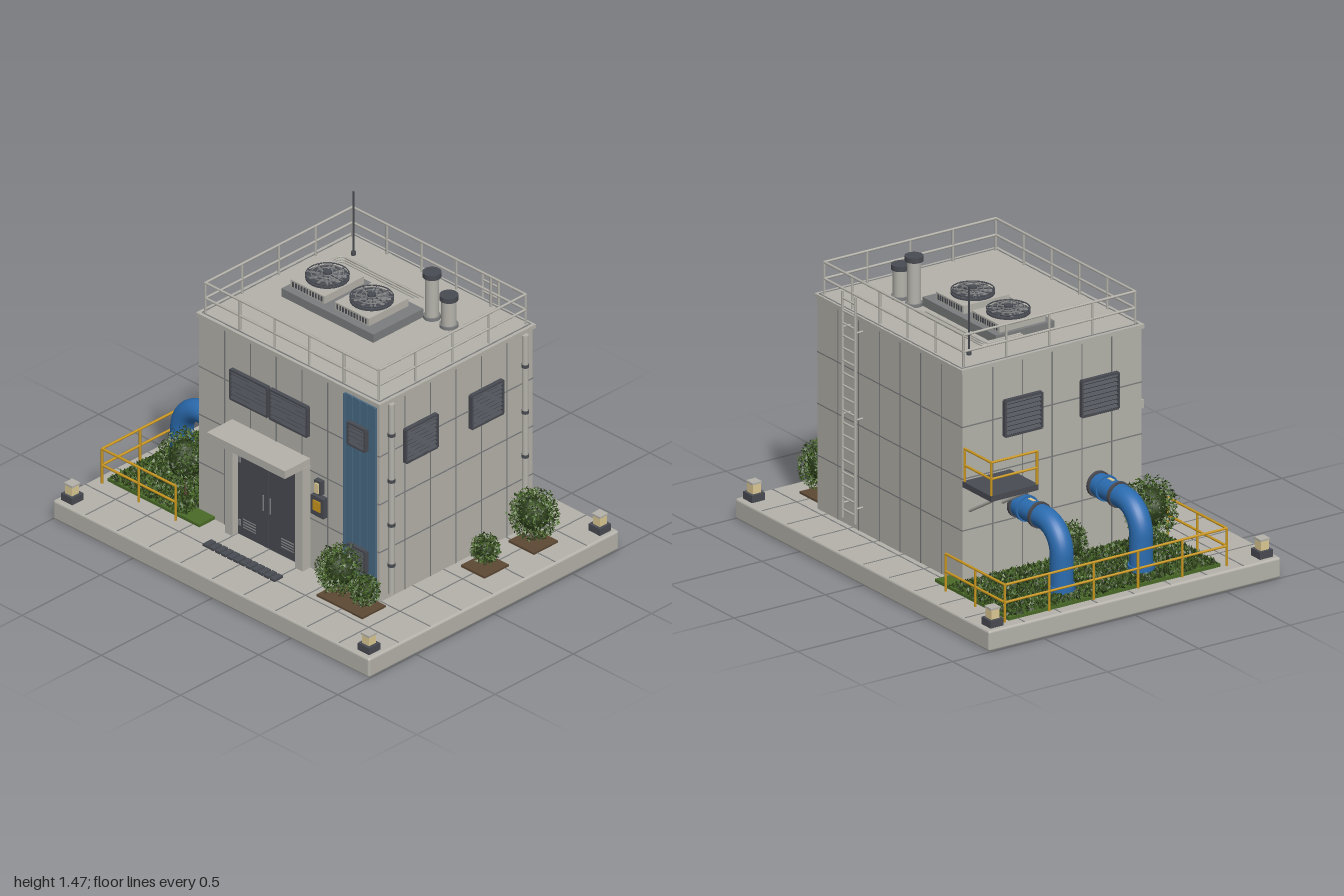
import * as THREE from 'three';
import { RoundedBoxGeometry } from 'three/addons/geometries/RoundedBoxGeometry.js';

export function createModel() {
  const root = new THREE.Group();
  root.name = 'pumpStation';
  const mat = (name, color, side = THREE.FrontSide) => Object.assign(new THREE.MeshStandardMaterial({ color, side }), { name });
  const concrete = mat('concrete', 0xb4b2aa), seam = mat('seamGrey', 0x7b7d7e), dark = mat('darkMetal', 0x484b52);
  const blue = mat('pipeBlue', 0x2b6cb0), panelBlue = mat('panelBlue', 0x486983), yellow = mat('safetyYellow', 0xcb981f);
  const leaf = mat('leafGreen', 0x4a6a28, THREE.DoubleSide), leafDark = mat('leafDark', 0x2b3d1a, THREE.DoubleSide);
  const cream = mat('lampCream', 0xdcc993), soil = mat('soil', 0x5c4834);

  let seed = 7;
  const rnd = () => ((seed = (seed * 16807) % 2147483647) / 2147483647);
  const V = (x, y, z) => new THREE.Vector3(x, y, z);
  const add = (name, geo, m, parent = root) => {
    const mesh = new THREE.Mesh(geo, m);
    mesh.name = name;
    parent.add(mesh);
    return mesh;
  };
  const group = (name) => { const g = new THREE.Group(); g.name = name; root.add(g); return g; };
  // box from its min and max on each axis
  const box = (name, m, x0, x1, y0, y1, z0, z1, p) => {
    const b = add(name, new THREE.BoxGeometry(x1 - x0, y1 - y0, z1 - z0), m, p);
    b.position.set((x0 + x1) / 2, (y0 + y1) / 2, (z0 + z1) / 2);
    return b;
  };
  // round bar between two points
  const rod = (name, m, a, b, r, p, sides = 8) => {
    const d = b.clone().sub(a);
    const c = add(name, new THREE.CylinderGeometry(r, r, d.length(), sides), m, p);
    c.position.copy(a).add(b).multiplyScalar(0.5);
    c.quaternion.setFromUnitVectors(V(0, 1, 0), d.normalize());
    return c;
  };
  const cyl = (name, m, x, z, y0, y1, r, p) => rod(name, m, V(x, y0, z), V(x, y1, z), r, p, 24);
  // handrail along [x, z] corners: two rails and evenly spaced posts
  const railing = (name, m, pts, y0, mid, top, step, r) => {
    const g = group(name);
    for (let i = 0; i + 1 < pts.length; i++) {
      const a = V(pts[i][0], 0, pts[i][1]), b = V(pts[i + 1][0], 0, pts[i + 1][1]);
      for (const y of [mid, top]) rod('rail', m, a.clone().setY(y), b.clone().setY(y), r, g);
      const n = Math.max(1, Math.round(a.distanceTo(b) / step));
      for (let k = 0; k <= n; k++) {
        const p = a.clone().lerp(b, k / n);
        rod('post', m, p.clone().setY(y0), p.clone().setY(top), r, g);
      }
    }
  };
  // framed louvre facing +z locally, turned about y
  const louvre = (x, y, z, w, h, turn) => {
    const g = group('louvre');
    g.position.set(x, y, z);
    g.rotation.y = turn;
    box('back', dark, -w / 2, w / 2, -h / 2, h / 2, 0, 0.005, g);
    for (const s of [-1, 1]) {
      box('frameSide', dark, s * w / 2 - 0.005, s * w / 2 + 0.005, -h / 2, h / 2, 0, 0.02, g);
      box('frameEnd', dark, -w / 2, w / 2, s * h / 2 - 0.005, s * h / 2 + 0.005, 0, 0.02, g);
    }
    const n = Math.round(h / 0.021);
    for (let i = 0; i < n; i++) {
      const s = box('slat', dark, -w / 2, w / 2, -0.002, 0.002, -0.009, 0.009, g);
      s.position.set(0, -h / 2 + (i + 0.5) * h / n, 0.011);
      s.rotation.x = 0.7;
    }
  };
  // loose triangles, each given by centre, size and lift
  const flakes = (name, m, n, place, size, upright, p) => {
    const pos = [];
    for (let i = 0; i < n; i++) {
      const c = place();
      const a = V(rnd() - 0.5, upright ? 0 : rnd() - 0.5, rnd() - 0.5).setLength(size);
      const b = upright ? V((rnd() - 0.5) * size * 2, size * (1 + rnd()), (rnd() - 0.5) * size * 2) : V(rnd() - 0.5, rnd() - 0.5, rnd() - 0.5).setLength(size * 1.6);
      for (const v of [c.clone().sub(a), c.clone().add(a), c.clone().add(b)]) pos.push(v.x, v.y, v.z);
    }
    const g = new THREE.BufferGeometry();
    g.setAttribute('position', new THREE.Float32BufferAttribute(pos, 3));
    g.computeVertexNormals();
    add(name, g, m, p);
  };
  const bush = (x, z, r, y0, y1) => {
    const g = group('bush'), cy = (y0 + y1) / 2, ry = (y1 - y0) / 2;
    const place = () => {
      const d = V(rnd() - 0.5, rnd() - 0.5, rnd() - 0.5).normalize().multiplyScalar(0.45 + 0.6 * Math.sqrt(rnd()) * (0.75 + 0.25 * rnd()));
      return V(x + d.x * r, cy + d.y * ry, z + d.z * r);
    };
    add('core', new THREE.IcosahedronGeometry(0.62, 1), leafDark, g).position.set(x, cy, z);
    g.children[0].scale.set(r, ry, r);
    rod('stem', soil, V(x, 0.1, z), V(x, cy, z), 0.008, g);
    const n = Math.round(r * 7500);
    flakes('leaves', leaf, n, place, 0.008, false, g);
    flakes('shadedLeaves', leafDark, n, place, 0.008, false, g);
  };

  // base slab with paving joints
  add('baseSlab', new RoundedBoxGeometry(2, 0.1, 1.6, 2, 0.012), concrete).position.y = 0.05;
  for (let i = -4; i <= 4; i++) box('pavingJoint', seam, i * 0.2 - 0.003, i * 0.2 + 0.003, 0.098, 0.1015, -0.79, 0.79);
  for (let i = -3; i <= 3; i++) box('pavingJoint', seam, -0.99, 0.99, 0.098, 0.1015, i * 0.2 - 0.003, i * 0.2 + 0.003);

  // building shell, wall joints and roof
  box('walls', concrete, -0.46, 0.68, 0.1, 1.12, -0.57, 0.41);
  for (const y of [0.36, 0.61, 0.86]) box('wallJoint', seam, -0.462, 0.682, y - 0.003, y + 0.003, -0.572, 0.412);
  for (let i = 1; i < 7; i++) {
    const x = -0.46 + i * 0.163;
    box('wallJoint', seam, x - 0.003, x + 0.003, 0.1, 1.12, -0.572, 0.412);
    const z = 0.41 - i * 0.163;
    if (i < 6) box('wallJoint', seam, -0.462, 0.682, 0.1, 1.12, z - 0.003, z + 0.003);
  }
  box('roofSlab', concrete, -0.47, 0.69, 1.12, 1.14, -0.58, 0.42);
  for (const z of [-0.566, 0.4]) box('roofJoint', seam, -0.45, 0.67, 1.139, 1.142, z - 0.003, z + 0.003);
  for (const x of [-0.45, 0.67]) box('roofJoint', seam, x - 0.003, x + 0.003, 1.139, 1.142, -0.566, 0.4);
  railing('roofRailing', concrete, [[-0.44, 0.39], [0.655, 0.39], [0.655, -0.55], [-0.44, -0.55], [-0.44, 0.39]], 1.14, 1.215, 1.295, 0.24, 0.006);

  // blue front panel with ribs
  box('bluePanel', panelBlue, 0.467, 0.66, 0.1, 1.11, 0.41, 0.418);
  for (let i = 0; i <= 4; i++) box('panelRib', panelBlue, 0.465 + i * 0.048, 0.473 + i * 0.048, 0.1, 1.11, 0.41, 0.424);

  // louvres on front and side walls
  louvre(-0.13, 0.862, 0.41, 0.235, 0.15, 0);
  louvre(0.12, 0.862, 0.41, 0.235, 0.15, 0);
  louvre(0.56, 0.925, 0.42, 0.11, 0.11, 0);
  louvre(0.56, 0.29, 0.42, 0.11, 0.11, 0);
  for (const z of [0.155, -0.265]) {
    louvre(0.68, 0.855, z, 0.2, 0.17, Math.PI / 2);
    louvre(-0.46, 0.855, z + 0.02, 0.2, 0.17, -Math.PI / 2);
  }

  // entrance: surround, canopy, double door and step grate
  for (const s of [-1, 1]) {
    box('doorPillar', concrete, s * 0.222 - 0.025, s * 0.222 + 0.022, 0.1, 0.63, 0.41, 0.46);
    box('doorLeaf', dark, s * 0.098 - 0.0955, s * 0.098 + 0.0955, 0.105, 0.593, 0.41, 0.43);
    rod('doorHandle', seam, V(s * 0.022, 0.3, 0.443), V(s * 0.022, 0.38, 0.443), 0.004);
    for (const y of [0.17, 0.5]) box('hinge', seam, s * 0.18 - 0.006, s * 0.18 + 0.006, y - 0.015, y + 0.015, 0.43, 0.437);
    for (let i = 0; i < 4; i++) box('doorVent', seam, s * 0.12 - 0.04, s * 0.12 + 0.04, 0.15 + i * 0.014, 0.154 + i * 0.014, 0.43, 0.434);
  }
  box('doorLintel', concrete, -0.247, 0.244, 0.593, 0.635, 0.41, 0.46);
  box('canopy', concrete, -0.25, 0.242, 0.63, 0.67, 0.41, 0.572);
  box('doorPlate', seam, -0.085, 0.08, 0.527, 0.562, 0.43, 0.436);
  box('doorPlateFace', dark, -0.078, 0.073, 0.533, 0.556, 0.436, 0.438);
  for (let i = 0; i < 12; i++) box('stepGrateBar', dark, -0.235 + i * 0.0386, -0.205 + i * 0.0386, 0.1, 0.112, 0.56, 0.615);

  // wall lamps and control box
  for (const x of [-0.315, 0.312]) {
    box('wallLampHousing', dark, x - 0.02, x + 0.02, 0.52, 0.592, 0.41, 0.435);
    box('wallLampLens', cream, x - 0.012, x + 0.012, 0.53, 0.58, 0.43, 0.443);
  }
  box('controlBox', dark, 0.275, 0.355, 0.41, 0.51, 0.41, 0.44);
  box('controlPanel', yellow, 0.292, 0.338, 0.438, 0.49, 0.44, 0.445);

  // downpipes on the left side wall
  for (const z of [0.35, -0.505]) {
    cyl('downpipe', concrete, 0.697, z, 0.13, 1.12, 0.015);
    for (const y of [0.28, 0.49, 0.72, 0.96]) cyl('pipeClamp', dark, 0.697, z, y - 0.008, y + 0.008, 0.0175);
  }

  // ladder at the back
  for (const x of [0.325, 0.425]) {
    rod('ladderRail', concrete, V(x, 0.15, -0.61), V(x, 1.245, -0.61), 0.007);
    for (const y of [0.22, 0.65, 1.07]) rod('ladderBracket', concrete, V(x, y, -0.57), V(x, y, -0.61), 0.005);
  }
  for (let y = 0.19; y < 1.23; y += 0.06) rod('rung', concrete, V(0.325, y, -0.61), V(0.425, y, -0.61), 0.005);

  // rooftop cooling unit with two fans
  box('coolerPlinth', seam, -0.295, 0.285, 1.14, 1.183, -0.27, 0.05);
  for (const x of [-0.168, 0.112]) {
    box('coolerBody', concrete, x - 0.108, x + 0.108, 1.183, 1.222, -0.24, 0.012);
    for (let i = -5; i <= 5; i++) box('coolerFin', dark, x + i * 0.018 - 0.004, x + i * 0.018 + 0.004, 1.19, 1.215, -0.243, 0.015);
    cyl('fanWell', dark, x, -0.115, 1.222, 1.23, 0.1);
    for (let i = 1; i <= 4; i++) {
      const ring = add('fanGuard', new THREE.TorusGeometry(i * 0.0245, 0.003, 6, 32), i === 4 ? dark : seam);
      ring.position.set(x, i === 4 ? 1.242 : 1.246, -0.115);
      ring.rotation.x = Math.PI / 2;
    }
    for (let i = 0; i < 9; i++) {
      const t = i * Math.PI * 2 / 9, c = Math.cos(t), s = Math.sin(t);
      rod('guardSpoke', dark, V(x, 1.246, -0.115), V(x + c * 0.098, 1.242, -0.115 + s * 0.098), 0.003);
      const blade = box('fanBlade', seam, -0.035, 0.035, -0.002, 0.002, -0.013, 0.013);
      blade.position.set(x + c * 0.052, 1.235, -0.115 + s * 0.052);
      blade.rotation.set(0.3, -t, 0, 'YXZ');
    }
    cyl('fanHub', dark, x, -0.115, 1.23, 1.256, 0.02);
  }

  // exhaust stacks, vent hook, antenna and roof conduits
  for (const [x, top, r] of [[0.315, 1.38, 0.032], [0.422, 1.305, 0.035]]) {
    cyl('stack', concrete, x, -0.295, 1.14, top - 0.015, r);
    cyl('stackFoot', seam, x, -0.295, 1.14, 1.155, r + 0.008);
    cyl('stackCap', dark, x, -0.295, top - 0.025, top, 0.043);
  }
  rod('antenna', dark, V(-0.325, 1.14, -0.44), V(-0.325, 1.47, -0.44), 0.004);
  cyl('antennaFoot', dark, -0.325, -0.44, 1.14, 1.155, 0.012);
  for (let i = 0; i < 3; i++) {
    const o = i * 0.016, end = 0.2 - o;
    const path = new THREE.CatmullRomCurve3([V(-0.33 + o, 1.165, -0.14), V(-0.33 + o, 1.165, -0.34 + o), V(-0.31 + o, 1.165, -0.365 + o), V(end, 1.165, -0.365 + o)], false, 'catmullrom', 0.1);
    add('conduit', new THREE.TubeGeometry(path, 30, 0.005, 6), concrete);
  }

  // large blue pipes with bends and flanges
  for (const z of [-0.27, 0.165]) {
    const path = new THREE.CurvePath();
    path.add(new THREE.LineCurve3(V(-0.45, 0.427, z), V(-0.67, 0.427, z)));
    path.add(new THREE.CubicBezierCurve3(V(-0.67, 0.427, z), V(-0.75, 0.427, z), V(-0.81, 0.367, z), V(-0.81, 0.287, z)));
    path.add(new THREE.LineCurve3(V(-0.81, 0.287, z), V(-0.81, 0.1, z)));
    add('waterPipe', new THREE.TubeGeometry(path, 48, 0.054, 24), blue);
    for (const x of [-0.475, -0.535, -0.635]) rod('flange', x === -0.535 ? blue : dark, V(x - 0.008, 0.427, z), V(x + 0.008, 0.427, z), 0.062, root, 24);
    cyl('pipeFlange', blue, -0.81, z, 0.13, 0.15, 0.062);
    box('pipeTag', cream, -0.595, -0.555, 0.48, 0.483, z - 0.008, z + 0.008);
  }

  // service platform beside the wall
  box('platform', dark, -0.685, -0.46, 0.572, 0.6, -0.57, -0.31);
  for (const z of [-0.53, -0.35]) rod('platformBrace', concrete, V(-0.655, 0.565, z), V(-0.46, 0.45, z), 0.008);
  railing('platformRailing', yellow, [[-0.47, -0.565], [-0.68, -0.565], [-0.68, -0.315]], 0.6, 0.68, 0.76, 0.24, 0.006);

  // lawn, blades and yellow fence
  box('lawn', leaf, -0.94, -0.36, 0.1, 0.115, -0.65, 0.51);
  const onLawn = () => V(-0.935 + rnd() * 0.47, 0.113, -0.645 + rnd() * 1.15);
  flakes('grass', leaf, 3500, onLawn, 0.011, true);
  flakes('shadedGrass', leafDark, 4200, onLawn, 0.011, true);
  railing('fence', yellow, [[-0.48, 0.54], [-0.945, 0.54], [-0.945, -0.675], [-0.48, -0.675]], 0.1, 0.195, 0.28, 0.24, 0.006);

  // planting beds and bushes
  box('bed', soil, 0.44, 0.73, 0.1, 0.11, 0.42, 0.57);
  box('bed', soil, 0.72, 0.87, 0.1, 0.11, -0.225, -0.07);
  box('bed', soil, 0.72, 0.88, 0.1, 0.11, -0.53, -0.375);
  bush(0.525, 0.505, 0.115, 0.13, 0.37);
  bush(0.665, 0.49, 0.072, 0.12, 0.265);
  bush(0.8, -0.455, 0.118, 0.12, 0.375);
  bush(0.795, -0.15, 0.068, 0.12, 0.262);
  bush(-0.585, 0.37, 0.13, 0.15, 0.46);
  bush(-0.6, -0.07, 0.075, 0.12, 0.34);

  // corner bollard lamps
  for (const x of [-0.938, 0.938]) for (const z of [-0.738, 0.738]) {
    box('bollardBase', dark, x - 0.036, x + 0.036, 0.1, 0.135, z - 0.036, z + 0.036);
    box('bollardLight', cream, x - 0.022, x + 0.022, 0.135, 0.18, z - 0.022, z + 0.022);
    box('bollardCap', concrete, x - 0.026, x + 0.026, 0.18, 0.19, z - 0.026, z + 0.026);
  }
  return root;
}
